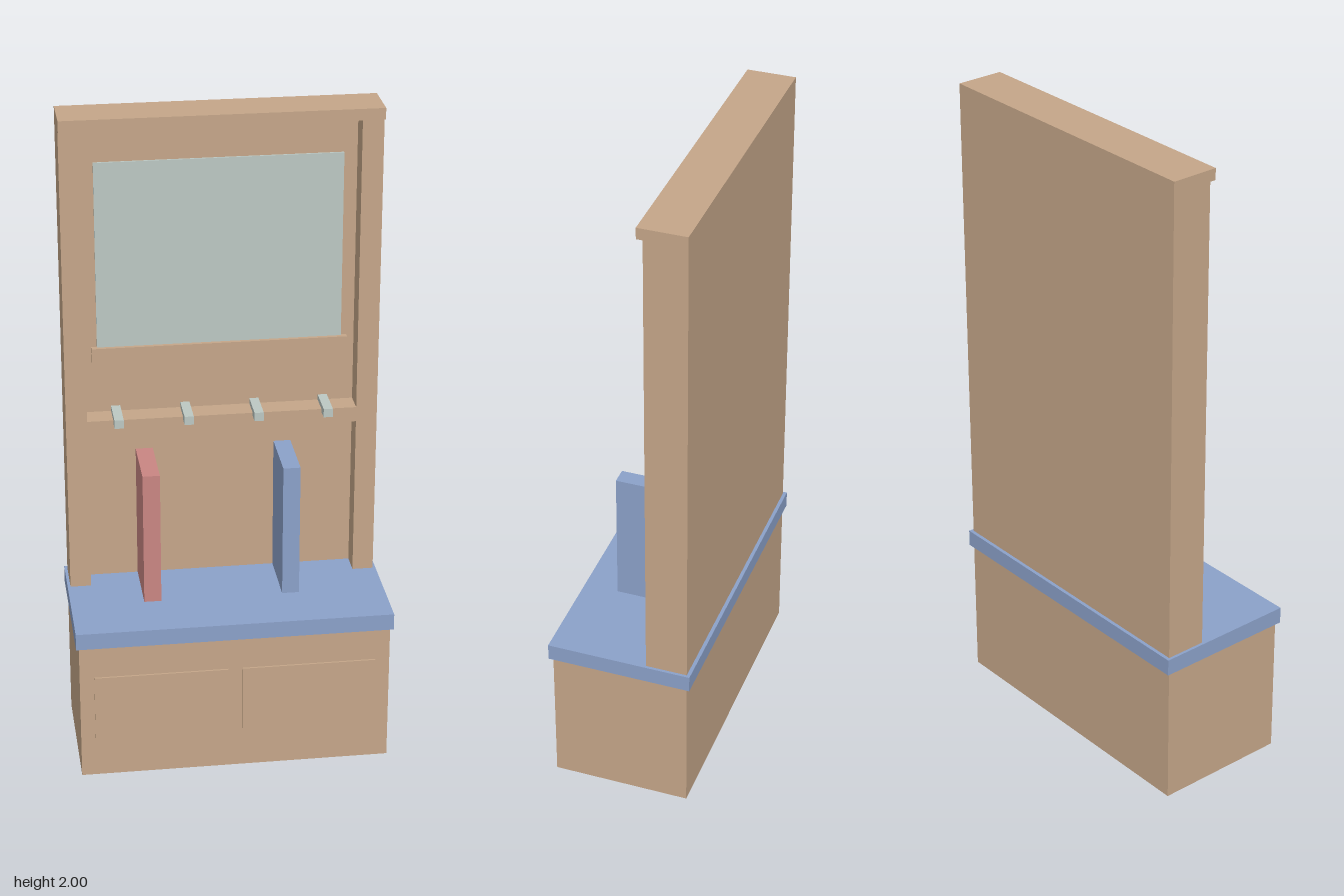
import * as THREE from 'three';

const mat = (name, color) => {
  const m = new THREE.MeshStandardMaterial({ color });
  m.name = name;
  return m;
};

export function createModel() {
  const root = new THREE.Group();
  root.name = 'hallStand';
  const wood = mat('wood', 0xc5a689);
  const blue = mat('blue', 0x8ba1c9);
  const red = mat('red', 0xc98683);
  const glass = mat('paleGlass', 0xbcc8c3);

  // Box given by its limits on each axis
  const box = (name, material, [x0, x1], [y0, y1], [z0, z1]) => {
    const mesh = new THREE.Mesh(new THREE.BoxGeometry(x1 - x0, y1 - y0, z1 - z0), material);
    mesh.position.set((x0 + x1) / 2, (y0 + y1) / 2, (z0 + z1) / 2);
    mesh.name = name;
    root.add(mesh);
  };

  const back = -0.213, panel = -0.157, face = -0.085;

  // Bench: chest, drawer fronts and seat
  box('benchBase', wood, [-0.474, 0.474], [0, 0.445], [back, 0.211]);
  box('rightDrawerFront', wood, [-0.43, -0.022], [0.13, 0.34], [0.211, 0.217]);
  box('leftDrawerFront', wood, [0.022, 0.43], [0.13, 0.34], [0.211, 0.217]);
  box('seat', blue, [-0.483, 0.483], [0.445, 0.497], [-0.224, 0.223]);

  // Tall back: recessed panel, posts, middle rail and cornice
  box('backPanel', wood, [-0.41, 0.41], [0.497, 1.965], [back, panel]);
  box('rightPost', wood, [-0.474, -0.41], [0.497, 1.965], [back, face]);
  box('leftPost', wood, [0.41, 0.474], [0.497, 1.965], [back, face]);
  box('middleRail', wood, [-0.41, 0.41], [1.005, 1.052], [panel, face]);
  box('cornice', wood, [-0.474, 0.474], [1.965, 2], [back, -0.066]);

  // Mirror and its ledge
  box('mirror', glass, [-0.37, 0.37], [1.264, 1.843], [panel, panel + 0.006]);
  box('mirrorLedge', wood, [-0.387, 0.387], [1.219, 1.264], [panel, panel + 0.018]);

  // Coat pegs
  for (const x of [-0.317, -0.106, 0.106, 0.317])
    box('coatPeg', glass, [x - 0.014, x + 0.014], [1.042, 1.069], [panel, -0.045]);

  // Upright slabs above the seat
  box('redSlab', red, [-0.264, -0.212], [0.529, 0.949], [-0.097, 0.102]);
  box('blueSlab', blue, [0.158, 0.21], [0.529, 0.949], [-0.097, 0.102]);

  return root;
}
